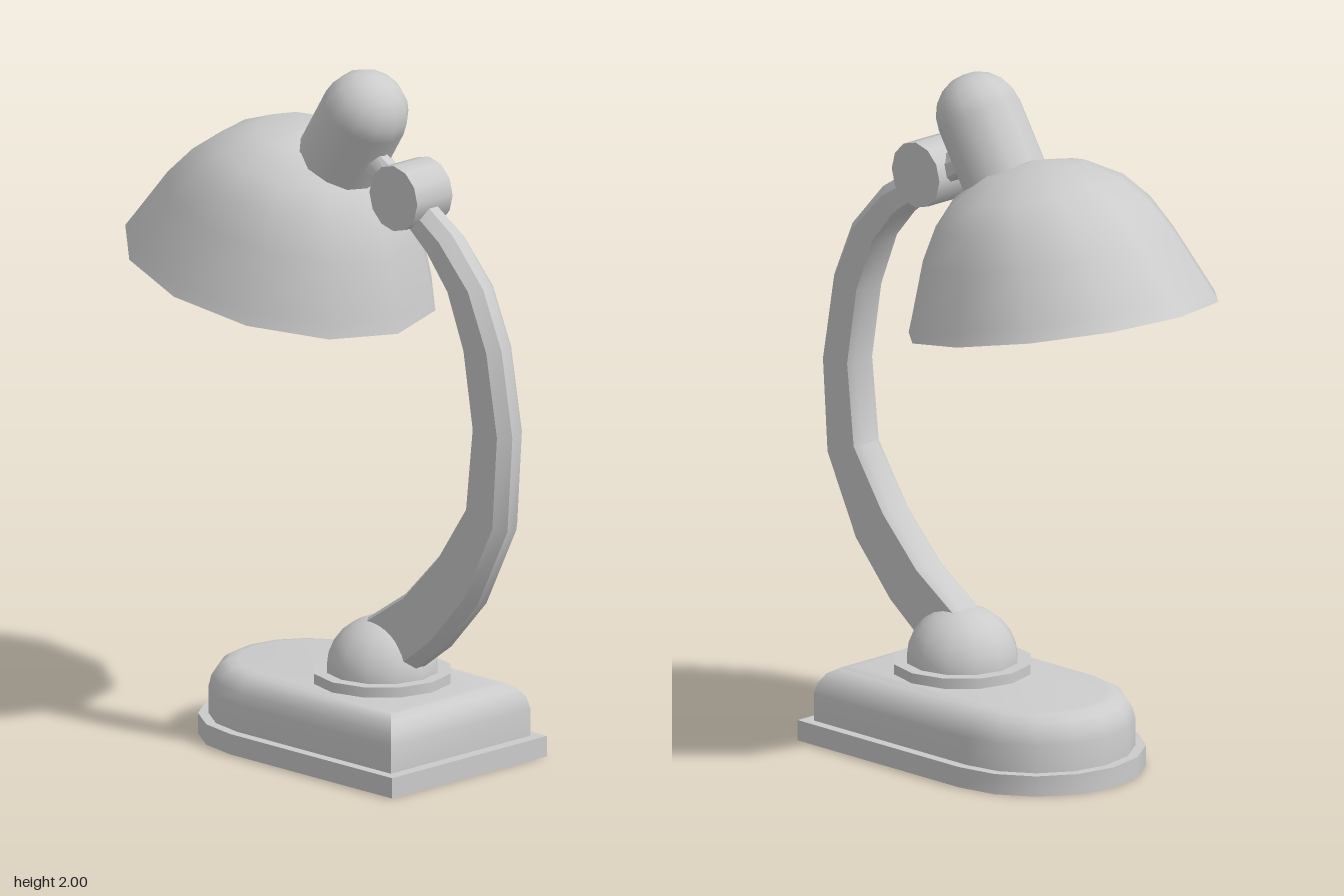
import * as THREE from 'three';
import { toCreasedNormals } from 'three/addons/utils/BufferGeometryUtils.js';

const material = new THREE.MeshStandardMaterial({ color: 0xcccccc });

function part(name, geometry, parent, x = 0, y = 0, z = 0) {
  const mesh = new THREE.Mesh(geometry, material);
  mesh.name = name;
  mesh.position.set(x, y, z);
  parent.add(mesh);
  return mesh;
}

// Skin a list of equal-length rings of [x, y, z], optionally closing both ends.
function loft(rings, caps = true) {
  const n = rings[0].length;
  const pos = rings.flat(2);
  const index = [];
  for (let i = 0; i < rings.length - 1; i++) {
    for (let k = 0; k < n; k++) {
      const a = i * n + k, b = i * n + (k + 1) % n;
      index.push(a, b, b + n, a, b + n, a + n);
    }
  }
  if (caps) {
    const last = (rings.length - 1) * n;
    for (let k = 1; k < n - 1; k++) {
      index.push(0, k + 1, k);
      index.push(last, last + k, last + k + 1);
    }
  }
  const g = new THREE.BufferGeometry();
  g.setAttribute('position', new THREE.Float32BufferAttribute(pos, 3));
  g.setIndex(index);
  return toCreasedNormals(g, 0.65);
}

// Base outline: square at the front, half round at the back.
function baseRing(r, front, y) {
  const ring = [[-r, y, front], [r, y, front]];
  for (let i = 0; i <= 8; i++) {
    const t = Math.PI * (0.5 + i / 8);
    ring.push([r * Math.sin(t), y, -0.13 + r * Math.cos(t)]);
  }
  return ring;
}

// Twelve-sided oval ring for the shade.
function ovalRing(y, rx, rz, shift) {
  return Array.from({ length: 12 }, (_, i) => {
    const t = (i / 12) * Math.PI * 2;
    return [rx * Math.sin(t), y, shift + rz * Math.cos(t)];
  });
}

export function createModel() {
  const lamp = new THREE.Group();
  lamp.name = 'deskLamp';

  // Base: thin plinth and a body with a rounded top edge
  part('plinth', loft([0, 0.06].map(y => baseRing(0.31, 0.52, y))), lamp);
  const bevel = [[0, 0.06], [0, 0.14], [0.008, 0.172], [0.026, 0.2], [0.052, 0.216], [0.08, 0.22]];
  part('baseBody', loft(bevel.map(([d, y]) => baseRing(0.28 - d, 0.485 - d, y))), lamp);

  // Collar and dome that hold the arm
  part('collar', new THREE.CylinderGeometry(0.2, 0.2, 0.03, 12), lamp, 0, 0.235, 0.17);
  part('armDome', new THREE.SphereGeometry(0.163, 12, 6, 0, Math.PI * 2, 0, Math.PI / 2), lamp, 0, 0.245, 0.17);

  // Curved arm: outer z, y, inner z, y, width factor
  const sections = [
    [0.29, 0.26, 0.14, 0.4, 1], [0.43, 0.365, 0.296, 0.503, 1], [0.57, 0.52, 0.43, 0.64, 1],
    [0.69, 0.76, 0.545, 0.81, 1], [0.71, 1.04, 0.571, 1.048, 1], [0.667, 1.286, 0.534, 1.27, 1],
    [0.593, 1.455, 0.47, 1.43, 1], [0.47, 1.59, 0.39, 1.524, 1], [0.33, 1.68, 0.29, 1.6, 0.9],
    [0.12, 1.795, 0.09, 1.73, 0.7],
  ];
  const armRings = sections.map(([oz, oy, iz, iy, w]) => {
    const thick = Math.hypot(oz - iz, oy - iy);
    const at = (x, depth) => {
      const f = depth / thick;
      return [x * w, oy + (iy - oy) * f, oz + (iz - oz) * f];
    };
    return [
      at(-0.018, 0), at(0.018, 0), at(0.05, 0.03), at(0.05, thick - 0.012),
      at(0.03, thick), at(-0.03, thick), at(-0.05, thick - 0.012), at(-0.05, 0.03),
    ];
  });
  part('arm', loft(armRings), lamp);

  // Hinge barrel across the top of the arm
  const hinge = part('hinge', new THREE.CylinderGeometry(0.096, 0.096, 0.142, 12), lamp, 0, 1.673, 0.286);
  hinge.rotation.z = Math.PI / 2;

  // Head: rounded socket, shade and bulb
  const socketTilt = 0.563;
  const half = 0.125;
  const socket = part('socket', new THREE.CapsuleGeometry(0.126, half * 2, 5, 12), lamp,
    0, 1.874 - half * Math.cos(socketTilt), 0.1 - half * Math.sin(socketTilt));
  socket.rotation.x = socketTilt;

  // Shade profile from rim to crown: height, half width, half depth, shift
  const profile = [
    [0, 0.427, 0.482, 0], [0.042, 0.412, 0.462, 0.003], [0.2, 0.352, 0.392, 0.015],
    [0.295, 0.31, 0.327, 0.02], [0.37, 0.252, 0.25, 0.026], [0.43, 0.145, 0.145, 0.022],
    [0.455, 0.002, 0.002, 0.02],
  ];
  const wall = 0.025;
  const inner = profile.map(([y, rx, rz, s]) => ovalRing(
    y === 0 ? 0 : y - wall * y / 0.455, Math.max(rx - wall, 0.002), Math.max(rz - wall, 0.002), s));
  const outer = profile.map(p => ovalRing(...p));
  const shade = part('shade', loft([...inner.reverse(), ...outer], false), lamp, 0, 1.35, -0.238);
  shade.rotation.x = 0.21;

  const bulb = part('bulb', new THREE.SphereGeometry(0.16, 16, 12), lamp, 0, 1.487, -0.17);
  bulb.rotation.x = socketTilt;

  return lamp;
}
